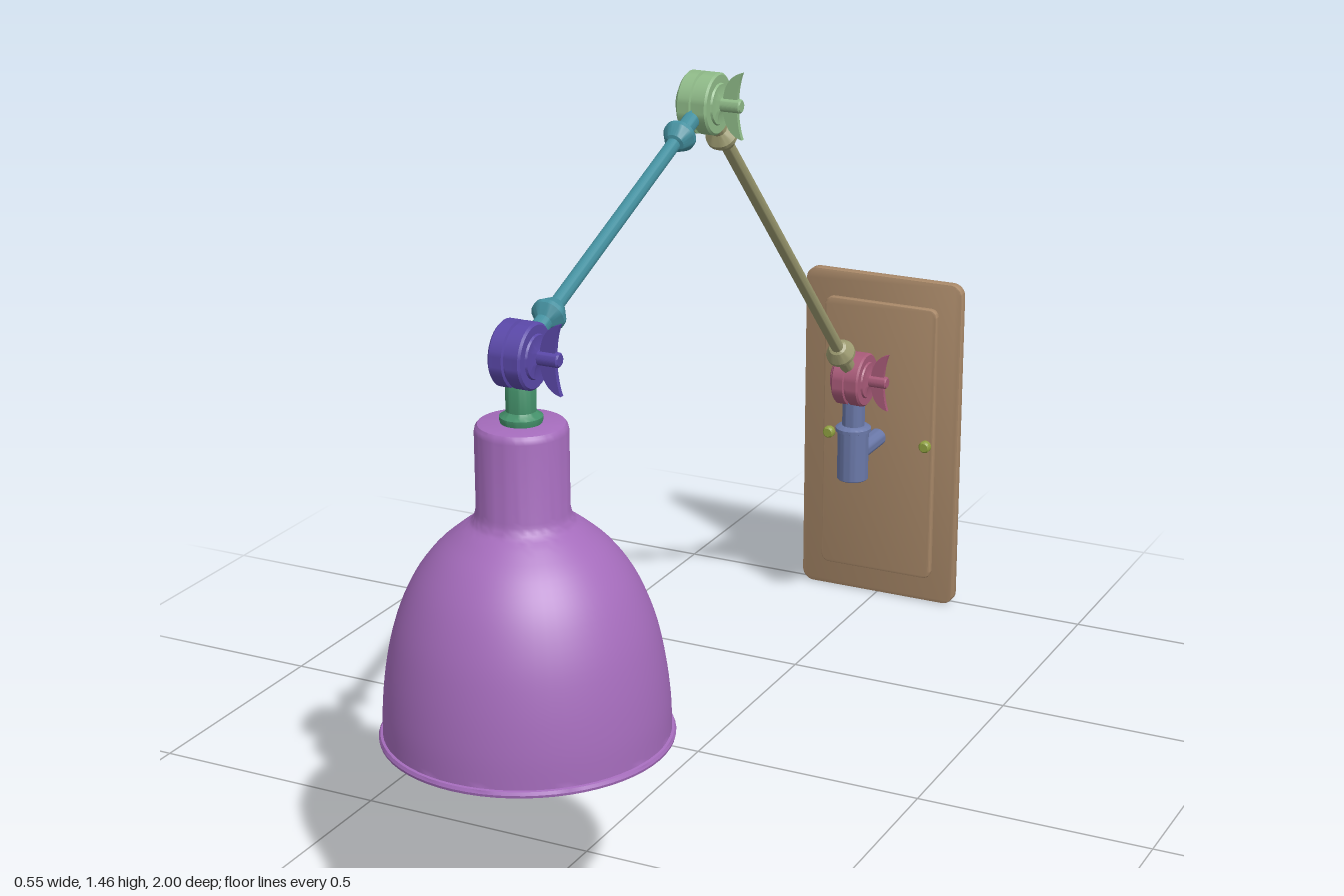
import * as THREE from 'three';
import { toCreasedNormals } from 'three/addons/utils/BufferGeometryUtils.js';

const V2 = (p) => new THREE.Vector2(p[0], p[1]);
const mat = (color, side = THREE.FrontSide) => new THREE.MeshStandardMaterial({ color, side });

const MATS = {
  shade: mat(0xa56cbc, THREE.DoubleSide), plate: mat(0xa88868), bracket: mat(0x6a78a8),
  lowerArm: mat(0x9c9a70), upperArm: mat(0x44909f), stem: mat(0x44906a), screw: mat(0x8fa040),
  wallJoint: mat(0xa85a78), elbowJoint: mat(0x8fba88), headJoint: mat(0x5a48a8),
};

function mesh(name, geometry, material, crease = 0.5) {
  const m = new THREE.Mesh(toCreasedNormals(geometry, crease), material);
  m.name = name;
  return m;
}

// Turned part: profile of [radius, height], from bottom to top
function turned(name, profile, material, segments = 40) {
  return mesh(name, new THREE.LatheGeometry(profile.map(V2), segments), material);
}

// Slab with rounded corners, centred on x, rising from y0 to y1, front at z1
function slab(name, halfW, y0, y1, z0, z1, r, bevel, material) {
  const w = halfW - bevel, a = y0 + bevel, b = y1 - bevel;
  const s = new THREE.Shape();
  s.moveTo(-w + r, a);
  s.lineTo(w - r, a);
  s.absarc(w - r, a + r, r, -Math.PI / 2, 0);
  s.absarc(w - r, b - r, r, 0, Math.PI / 2);
  s.absarc(-w + r, b - r, r, Math.PI / 2, Math.PI);
  s.absarc(-w + r, a + r, r, Math.PI, Math.PI * 1.5);
  const g = new THREE.ExtrudeGeometry(s, {
    depth: z1 - z0 - 2 * bevel, bevelThickness: bevel, bevelSize: bevel, bevelSegments: 2, curveSegments: 6,
  });
  g.translate(0, 0, z0 + bevel);
  return mesh(name, g, material);
}

// Friction joint: two grooved discs on a sideways axle, tightened by a wing nut
function joint(name, y, z, material) {
  const g = new THREE.Group();
  g.name = name;
  g.position.set(0, y, z);
  const discs = turned('jointDiscs', [
    [0, -0.042], [0.018, -0.042], [0.018, -0.046], [0.034, -0.046], [0.04, -0.042], [0.042, -0.033],
    [0.058, -0.033], [0.062, -0.029], [0.062, -0.004], [0.057, -0.002], [0.057, 0.002], [0.062, 0.004],
    [0.062, 0.029], [0.058, 0.033], [0.042, 0.033], [0.04, 0.037], [0.022, 0.037], [0.014, 0.04],
    [0.014, 0.079], [0.011, 0.082], [0, 0.082],
  ], material);
  discs.rotation.z = -Math.PI / 2;

  const s = new THREE.Shape();
  s.moveTo(0.084, 0.067);
  s.bezierCurveTo(0.055, 0.06, 0.044, 0.035, 0.042, 0);
  s.bezierCurveTo(0.044, -0.035, 0.055, -0.06, 0.084, -0.067);
  s.bezierCurveTo(0.07, -0.03, 0.07, 0.03, 0.084, 0.067);
  const wing = new THREE.ExtrudeGeometry(s, { depth: 0.01, bevelEnabled: false, curveSegments: 12 });
  wing.translate(0, 0, -0.005);
  g.add(discs, mesh('wingNut', wing, material));
  return g;
}

// Straight rod between two joints with a double-cone collar near each end
function arm(name, from, to, material) {
  const a = new THREE.Vector3(0, ...from), b = new THREE.Vector3(0, ...to);
  const L = a.distanceTo(b);
  const half = [[0, 0.05], [0.017, 0.05], [0.017, 0.095], [0.033, 0.112], [0.033, 0.121], [0.02, 0.143], [0.014, 0.146]];
  const far = half.map(([r, h]) => [r, L - h]).reverse();
  const m = turned(name, [...half, ...far], material, 28);
  m.position.copy(a);
  m.quaternion.setFromUnitVectors(new THREE.Vector3(0, 1, 0), b.sub(a).normalize());
  return m;
}

export function createModel() {
  const model = new THREE.Group();
  model.name = 'wallLamp';
  const wall = [0.59, -0.813], elbow = [1.397, -0.027], head = [1.095, 0.722];

  // Wall plate, raised panel and its two screws
  model.add(slab('wallPlate', 0.195, 0, 0.79, -1, -0.975, 0.025, 0.004, MATS.plate));
  model.add(slab('raisedPanel', 0.14, 0.062, 0.728, -0.979, -0.96, 0.015, 0.004, MATS.plate));
  for (const side of [-1, 1]) {
    const screw = turned('screw', [[0.014, 0], [0.014, 0.012], [0.01, 0.017], [0, 0.018]], MATS.screw, 20);
    screw.rotation.x = Math.PI / 2;
    screw.position.set(side * 0.122, 0.396, -0.962);
    model.add(screw);
  }

  // Bracket: arm out of the wall, upright socket and swivel pin
  const wallArm = mesh('bracketArm', new THREE.CylinderGeometry(0.021, 0.021, 0.16, 28), MATS.bracket);
  wallArm.rotation.x = Math.PI / 2;
  wallArm.position.set(0, 0.4, -0.885);
  const socket = turned('bracketSocket', [
    [0, 0.346], [0.034, 0.346], [0.036, 0.348], [0.036, 0.462], [0.041, 0.464], [0.041, 0.472],
    [0.036, 0.476], [0.026, 0.478], [0.026, 0.545], [0, 0.545],
  ], MATS.bracket);
  socket.position.z = wall[1];
  model.add(wallArm, socket);

  // Arms and joints
  model.add(arm('lowerArm', wall, elbow, MATS.lowerArm));
  model.add(arm('upperArm', elbow, head, MATS.upperArm));
  model.add(joint('wallJoint', ...wall, MATS.wallJoint));
  model.add(joint('elbowJoint', ...elbow, MATS.elbowJoint));
  model.add(joint('headJoint', ...head, MATS.headJoint));

  // Lamp head: stem, bulb and bell shade
  const lamp = new THREE.Group();
  lamp.name = 'lampHead';
  lamp.position.z = head[1];
  lamp.add(turned('shadeStem', [
    [0, 0.96], [0.036, 0.96], [0.04, 0.974], [0.04, 0.98], [0.032, 0.985], [0.028, 0.99],
    [0.028, 1.035], [0.022, 1.05], [0, 1.05],
  ], MATS.stem));
  lamp.add(turned('bulb', [
    [0, 0.485], [0.025, 0.49], [0.045, 0.505], [0.057, 0.53], [0.06, 0.555], [0.055, 0.585],
    [0.042, 0.62], [0.032, 0.66], [0.03, 0.7], [0.038, 0.705], [0.038, 0.962],
  ], MATS.stem));
  const bell = new THREE.SplineCurve([
    [0.269, 0.367], [0.267, 0.43], [0.257, 0.51], [0.238, 0.59], [0.206, 0.665],
    [0.165, 0.722], [0.12, 0.762], [0.094, 0.782], [0.086, 0.806],
  ].map(V2)).getPoints(32).map((p) => [p.x, p.y]);
  lamp.add(turned('shade', [
    [0.266, 0.367], [0.27, 0.356], [0.276, 0.355], [0.277, 0.36], [0.274, 0.366], ...bell,
    [0.086, 0.952], [0.084, 0.961], [0.08, 0.966], [0.073, 0.968], [0, 0.968],
  ], MATS.shade, 64));
  model.add(lamp);
  return model;
}
